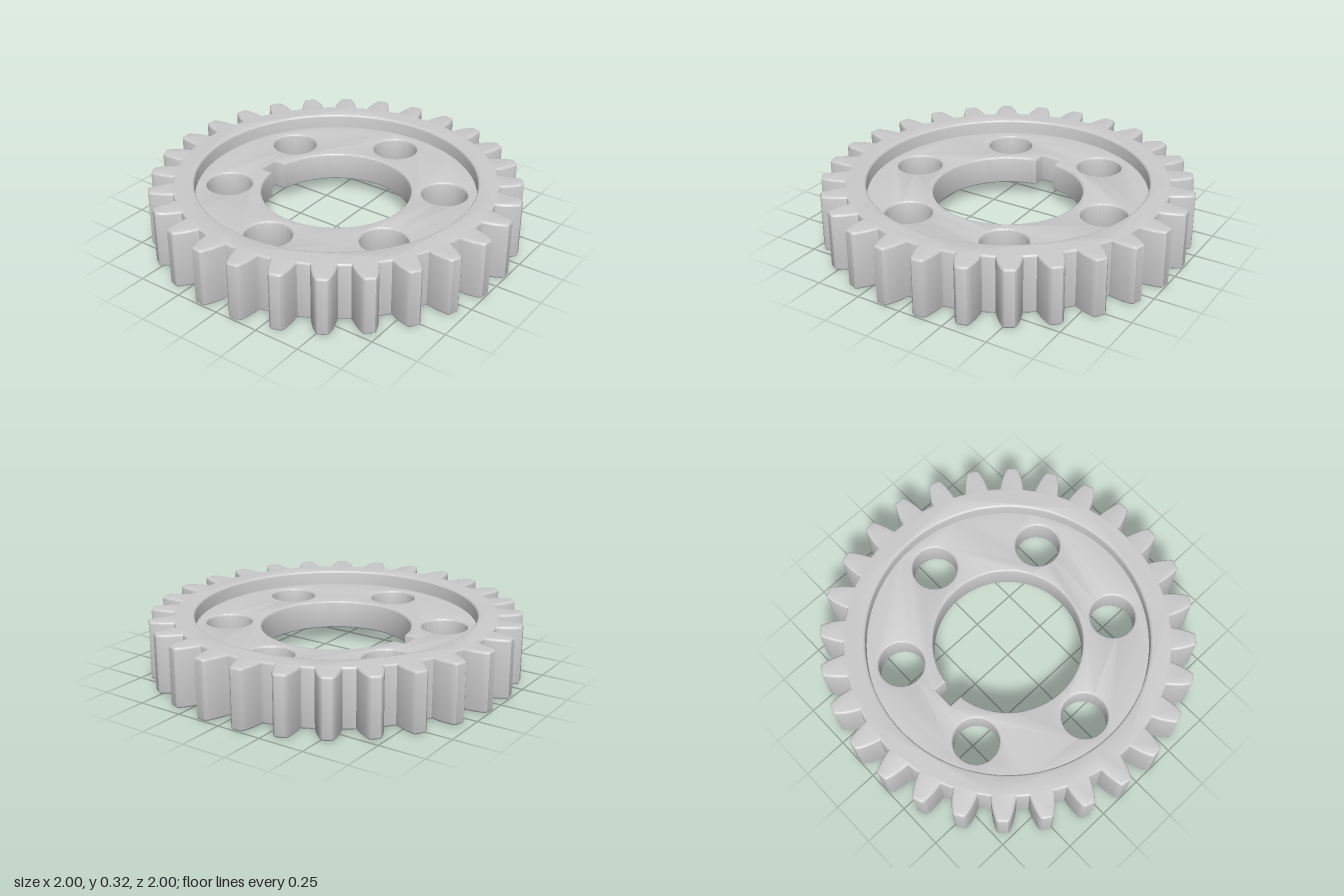
import * as THREE from 'three';
import { toCreasedNormals } from 'three/addons/utils/BufferGeometryUtils.js';

const TEETH = 28;
const HEIGHT = 0.32;
const RECESS = 0.08; // depth of the web below each rim face

// Half of a tooth profile from root to tip: [radius, half width]
const FLANK = [[0.876, 0.066], [0.91, 0.061], [0.945, 0.053], [0.975, 0.043], [0.994, 0.035], [1.003, 0.025]];

function circlePath(x, y, r) {
  return new THREE.Path().absarc(x, y, r, 0, Math.PI * 2, true);
}

// Upright slab with softly rounded edges, spanning y0..y1
function slab(name, shape, y0, y1, round, material) {
  const geometry = new THREE.ExtrudeGeometry(shape, {
    depth: y1 - y0 - 2 * round,
    bevelThickness: round,
    bevelSize: round,
    bevelOffset: -round,
    bevelSegments: 3,
    curveSegments: 48,
  });
  geometry.rotateX(-Math.PI / 2).translate(0, y0 + round, 0);
  const mesh = new THREE.Mesh(toCreasedNormals(geometry, 0.6), material);
  mesh.name = name;
  return mesh;
}

function toothedOutline() {
  const points = [];
  for (let i = 0; i < TEETH; i++) {
    const middle = ((i + 0.5) / TEETH) * Math.PI * 2;
    const add = (side) => ([r, w]) => {
      const a = middle + side * Math.asin(w / r);
      points.push(new THREE.Vector2(r * Math.cos(a), r * Math.sin(a)));
    };
    FLANK.forEach(add(-1));
    [...FLANK].reverse().forEach(add(1));
  }
  return new THREE.Shape(points);
}

// Round bore with a square keyway at the back
function boreWithKeyway() {
  const r = 0.405, half = 0.058, top = 0.472;
  const a = Math.asin(half / r);
  const path = new THREE.Path();
  path.moveTo(-half, top);
  path.lineTo(half, top);
  path.absarc(0, 0, r, Math.PI / 2 - a, Math.PI / 2 + a, true);
  path.closePath();
  return path;
}

export function createModel() {
  const gear = new THREE.Group();
  gear.name = 'gear';
  const material = new THREE.MeshStandardMaterial({ color: 0xcccccc });

  // Full-height rim carrying the teeth
  const rim = toothedOutline();
  rim.holes.push(circlePath(0, 0, 0.76));
  gear.add(slab('toothedRim', rim, 0, HEIGHT, 0.012, material));

  // Thinner web, recessed on both faces, with the bore and six round holes
  const web = new THREE.Shape().absarc(0, 0, 0.785, 0, Math.PI * 2, false);
  web.holes.push(boreWithKeyway());
  for (let i = 0; i < 6; i++) {
    const a = (i * Math.PI) / 3;
    web.holes.push(circlePath(0.585 * Math.cos(a), 0.585 * Math.sin(a), 0.123));
  }
  gear.add(slab('web', web, RECESS, HEIGHT - RECESS, 0.01, material));

  return gear;
}
